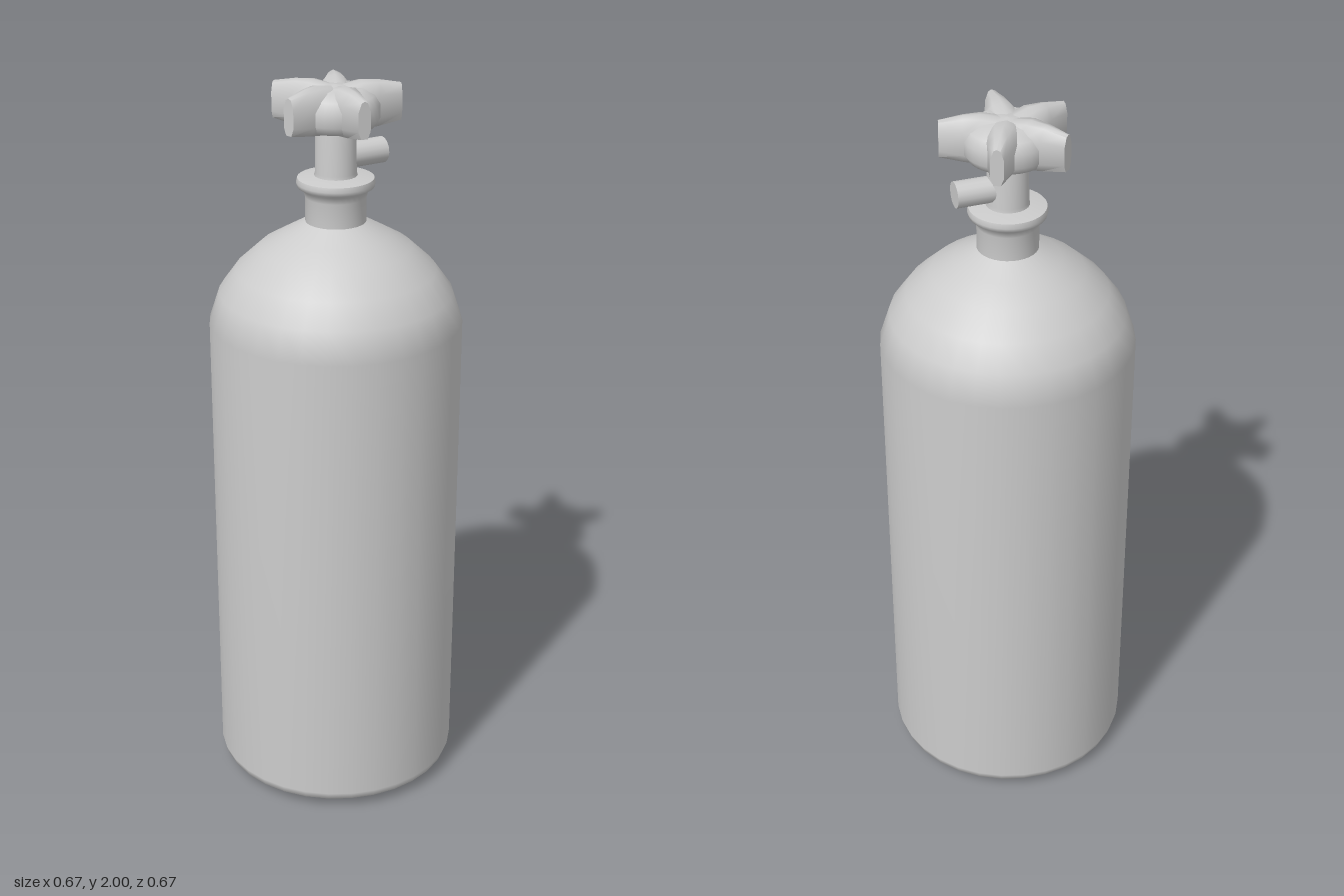
import * as THREE from 'three';
import { mergeVertices, toCreasedNormals } from 'three/addons/utils/BufferGeometryUtils.js';

const material = new THREE.MeshStandardMaterial({ color: 0xcccccc });

function addMesh(parent, name, geometry) {
  const mesh = new THREE.Mesh(geometry, material);
  mesh.name = name;
  parent.add(mesh);
  return mesh;
}

function lathe(points, segments) {
  return new THREE.LatheGeometry(points.map(([r, y]) => new THREE.Vector2(r, y)), segments);
}

// One handle arm along +x: rounded sections [x, half width, bottom, top] joined in rings
function armGeometry() {
  const sections = [
    [0.0, 0.05, 1.88, 1.985],
    [0.065, 0.046, 1.876, 1.998],
    [0.11, 0.032, 1.88, 1.996],
    [0.17, 0.0165, 1.89, 1.985],
  ];
  // Outline of a section: fractions of its half width and height
  const outline = [[-0.55, 0], [0.55, 0], [1, 0.2], [1, 0.72], [0.5, 0.96], [0, 1], [-0.5, 0.96], [-1, 0.72], [-1, 0.2]];
  const n = outline.length;
  const positions = [];
  const index = [];
  for (const [x, w, y0, y1] of sections) {
    for (const [u, v] of outline) positions.push(x, y0 + (y1 - y0) * v, -u * w);
  }
  for (let s = 0; s < sections.length - 1; s++) {
    for (let i = 0; i < n; i++) {
      const a = s * n + i, b = s * n + (i + 1) % n;
      index.push(a, a + n, b, b, a + n, b + n);
    }
  }
  // Flat outer tip
  const tip = (sections.length - 1) * n;
  for (let i = 1; i < n - 1; i++) index.push(tip, tip + i + 1, tip + i);
  // Wind every face outward from the arm's centre line
  const p = (i) => new THREE.Vector3().fromArray(positions, i * 3);
  for (let f = 0; f < index.length; f += 3) {
    const [a, b, c] = [p(index[f]), p(index[f + 1]), p(index[f + 2])];
    const normal = b.clone().sub(a).cross(c.clone().sub(a));
    const outward = a.add(b).add(c).divideScalar(3).sub(new THREE.Vector3(0.08, 1.94, 0));
    if (normal.dot(outward) < 0) [index[f + 1], index[f + 2]] = [index[f + 2], index[f + 1]];
  }
  const geometry = new THREE.BufferGeometry();
  geometry.setAttribute('position', new THREE.Float32BufferAttribute(positions, 3));
  geometry.setIndex(index);
  return toCreasedNormals(mergeVertices(geometry), 1.1);
}

export function createModel() {
  const model = new THREE.Group();
  model.name = 'gasCylinder';

  // Tank with a shallow base and domed shoulder
  addMesh(model, 'tank', lathe([
    [0, 0], [0.17, 0.002], [0.315, 0.024], [0.33, 0.034], [0.337, 0.055],
    [0.337, 1.362], [0.31, 1.443], [0.265, 1.505], [0.2, 1.565], [0.14, 1.6], [0.075, 1.637],
  ], 32));

  // Neck and flange
  addMesh(model, 'neck', toCreasedNormals(lathe([
    [0.08, 1.62], [0.08, 1.7], [0.085, 1.718], [0.1, 1.727], [0.103, 1.738], [0.1, 1.75], [0.055, 1.757], [0, 1.757],
  ], 32), 0.9));

  // Valve stem
  addMesh(model, 'valveStem', lathe([
    [0.06, 1.745], [0.054, 1.765], [0.053, 1.87], [0.045, 1.89],
  ], 24));

  // Side outlet
  const outlet = addMesh(model, 'outlet', new THREE.CylinderGeometry(0.034, 0.034, 0.12, 16));
  outlet.rotation.z = -Math.PI / 2;
  outlet.position.set(0.08, 1.803, 0);

  // Five-armed hand wheel
  const handle = new THREE.Group();
  handle.name = 'handWheel';
  addMesh(handle, 'hub', lathe([
    [0, 1.87], [0.06, 1.872], [0.1, 1.885], [0.113, 1.905], [0.113, 1.94],
    [0.1, 1.965], [0.07, 1.983], [0, 1.99],
  ], 32));
  const arm = armGeometry();
  for (const degrees of [16.5, 95.5, 163.5, 231, 298]) {
    addMesh(handle, 'handleArm', arm).rotation.y = -THREE.MathUtils.degToRad(degrees);
  }
  handle.scale.y = 1.0;
  handle.position.y = 0.002;
  model.add(handle);

  return model;
}
